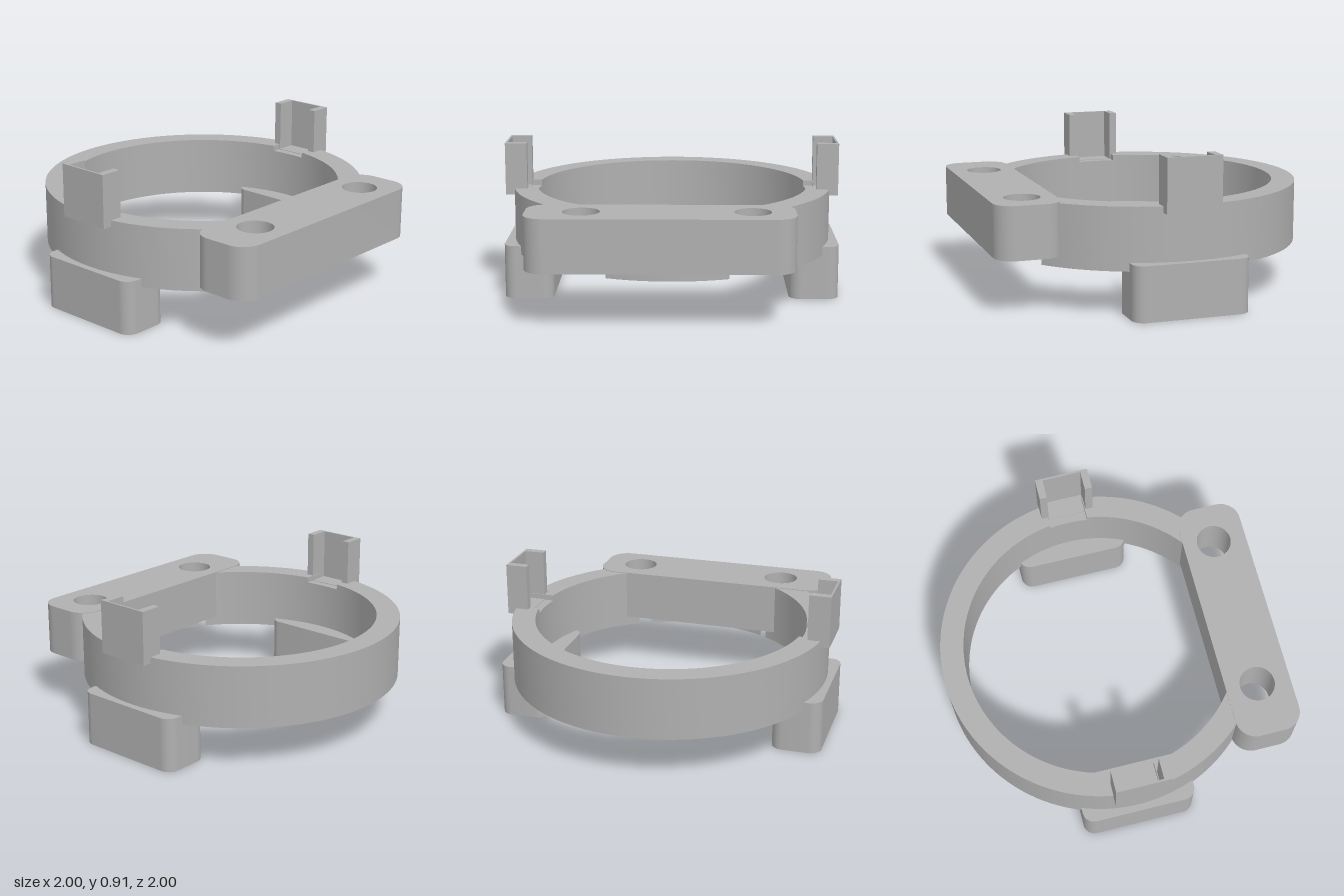
import * as THREE from 'three';
import { toCreasedNormals } from 'three/addons/utils/BufferGeometryUtils.js';

const RING_Z = -0.04, R_IN = 0.82, R_OUT = 0.96;
const HOLES = [[0.46, 0.8], [-0.495, 0.8]];
const grey = new THREE.MeshStandardMaterial({ color: 0xb0b0b0 });
grey.name = 'grey';

export function createModel() {
  const model = new THREE.Group();
  model.name = 'ringMount';

  const add = (name, geometry) => {
    const mesh = new THREE.Mesh(geometry, grey);
    mesh.name = name;
    model.add(mesh);
    return mesh;
  };

  // Extrudes a plan outline (x, z) between two heights
  const slab = (name, shape, y0, y1) => {
    const geo = new THREE.ExtrudeGeometry(shape, { depth: y1 - y0, bevelEnabled: false, curveSegments: 20 });
    geo.rotateX(Math.PI / 2).translate(0, y1, 0);
    return add(name, toCreasedNormals(geo, 0.5));
  };

  const box = (name, x0, x1, y0, y1, z0, z1) => {
    const geo = new THREE.BoxGeometry(x1 - x0, y1 - y0, z1 - z0);
    geo.translate((x0 + x1) / 2, (y0 + y1) / 2, (z0 + z1) / 2);
    return add(name, geo);
  };

  const roundedRect = (x0, x1, z0, z1, r) => {
    const s = new THREE.Shape();
    s.absarc(x1 - r, z1 - r, r, 0, Math.PI / 2);
    s.absarc(x0 + r, z1 - r, r, Math.PI / 2, Math.PI);
    s.absarc(x0 + r, z0 + r, r, Math.PI, Math.PI * 1.5);
    s.absarc(x1 - r, z0 + r, r, Math.PI * 1.5, Math.PI * 2);
    s.closePath();
    return s;
  };

  const circle = (x, z, r) => new THREE.Path().absarc(x, z, r, 0, Math.PI * 2, true);

  // Ring segment whose end angles are functions of the radius
  const band = (name, start, end, y0, y1) => {
    const pts = [];
    const put = (r, a) => pts.push(new THREE.Vector2(r * Math.cos(a), RING_Z + r * Math.sin(a)));
    const arc = (r, a, b) => {
      const n = Math.max(6, Math.ceil(Math.abs(b - a) / 0.05));
      for (let i = 0; i <= n; i++) put(r, a + (b - a) * i / n);
    };
    const steps = 10, radius = (i) => R_IN + (R_OUT - R_IN) * i / steps;
    arc(R_OUT, start(R_OUT), end(R_OUT));
    for (let i = steps - 1; i > 0; i--) put(radius(i), end(radius(i)));
    arc(R_IN, end(R_IN), start(R_IN));
    for (let i = 1; i < steps; i++) put(radius(i), start(radius(i)));
    slab(name, new THREE.Shape(pts), y0, y1);
  };

  // Ring: main wall stops inside the front plate, clear of the screw holes
  const endR = () => 0.92, endL = () => Math.PI - 0.92;
  const turn = (f) => (r) => f(r) + Math.PI * 2;
  band('ringWall', endL, turn(endR), 0.33, 0.6);

  // Top layer of the ring, with a slot at each clip
  const slotFront = (r) => Math.asin(0.12 / r), slotBack = (r) => Math.asin(-0.115 / r);
  const mirror = (f) => (r) => Math.PI - f(r);
  band('ringTopLeft', slotFront, endR, 0.6, 0.634);
  band('ringTopRight', endL, mirror(slotFront), 0.6, 0.634);
  band('ringTopBack', mirror(slotBack), turn(slotBack), 0.6, 0.634);

  // Bottom layer of the ring, cut by the two counterbores
  const cut = ([x, z], side) => {
    const d = Math.hypot(x, z - RING_Z), phi = Math.atan2(z - RING_Z, x), c = 0.145;
    return (r) => {
      const k = Math.min(1, (r * r + d * d - c * c) / (2 * r * d));
      return phi + side * Math.max(0.03, Math.acos(k));
    };
  };
  band('ringBottom', cut(HOLES[1], 1), turn(cut(HOLES[0], -1)), 0.27, 0.33);
  band('ringBottomFront', cut(HOLES[0], 1), cut(HOLES[1], -1), 0.27, 0.33);

  // Front plate with two screw holes
  const plate = roundedRect(-0.81, 0.7, 0.61, 1, 0.12);
  for (const [x, z] of HOLES) plate.holes.push(circle(x, z, 0.105));
  slab('frontPlate', plate, 0.33, 0.638);

  for (const s of [1, -1]) {
    const side = s > 0 ? 'left' : 'right';
    const span = (a, b) => (s > 0 ? [a, b] : [-b, -a]);

    // Foot with a blind hole underneath
    const [f0, f1] = span(0.705, 1);
    const foot = roundedRect(f0, f1, -0.38, 0.31, 0.07);
    foot.holes.push(circle(s * 0.85, -0.035, 0.072));
    slab(side + 'Foot', foot, 0, 0.25);
    slab(side + 'FootTop', roundedRect(f0, f1, -0.38, 0.31, 0.07), 0.25, 0.32);

    // Upright channel clip, open towards the centre
    const [c0, c1] = span(0.87, 1);
    box(side + 'ClipFrontFlange', c0, c1, 0.597, 0.91, 0.085, 0.13);
    box(side + 'ClipBackFlange', c0, c1, 0.597, 0.91, -0.195, -0.15);
    box(side + 'ClipWall', ...span(0.988, 1), 0.597, 0.91, -0.15, 0.085);
    box(side + 'ClipFloor', ...span(0.87, 0.988), 0.597, 0.603, -0.15, 0.085);
  }
  return model;
}
